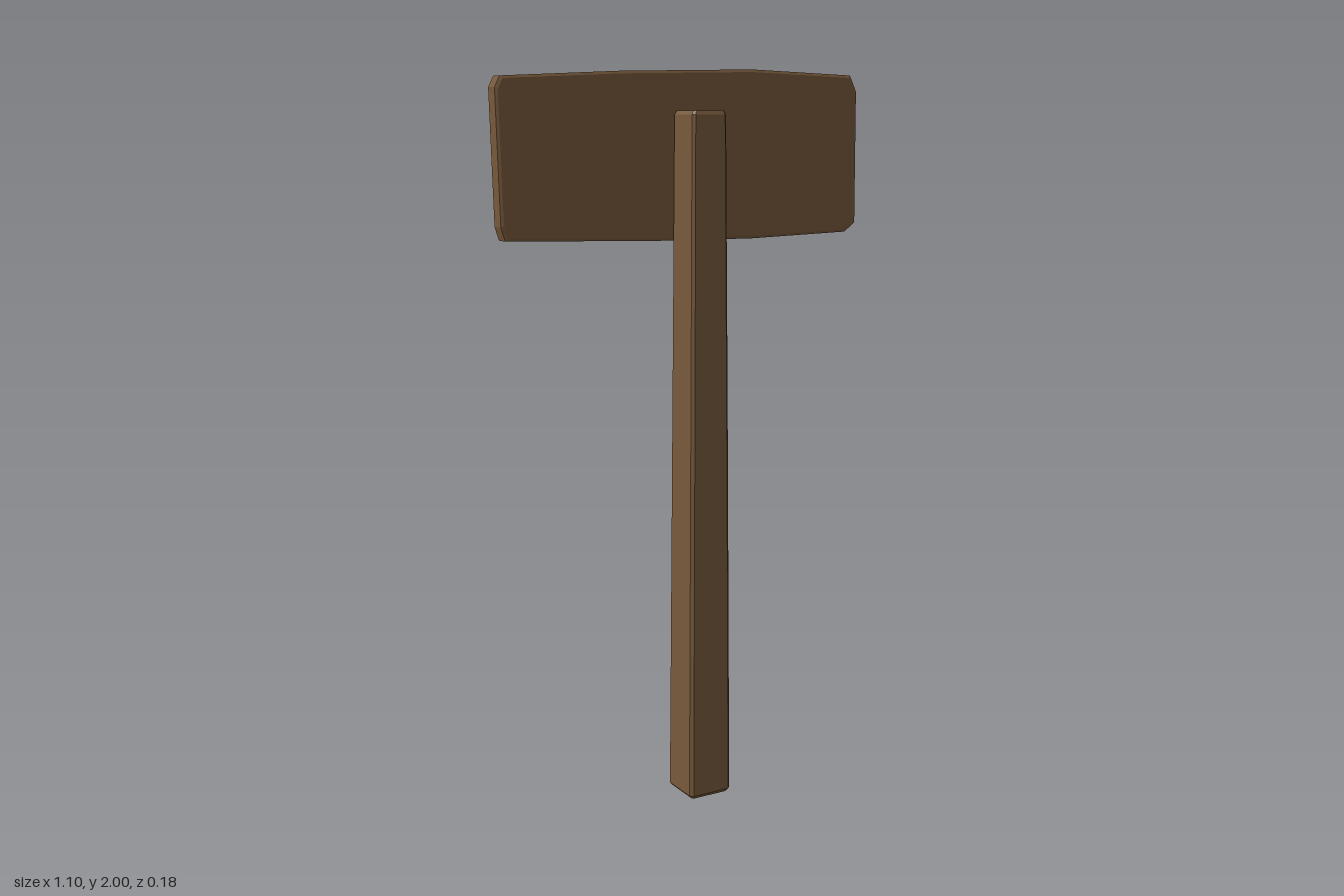
import * as THREE from 'three';

// Flat-faced solid through convex rings, each running counter-clockwise seen from the end.
// Group 0 holds the sides and end cap, group 1 the start cap.
function loft(rings) {
  const pos = [];
  const tri = (a, b, c) => pos.push(...a, ...b, ...c);
  const n = rings[0].length;
  const last = rings[rings.length - 1];
  for (let j = 0; j < rings.length - 1; j++) {
    for (let i = 0; i < n; i++) {
      const k = (i + 1) % n;
      const [a, b, c, d] = [rings[j][i], rings[j][k], rings[j + 1][k], rings[j + 1][i]];
      tri(a, b, c);
      tri(a, c, d);
    }
  }
  for (let i = 1; i < n - 1; i++) tri(last[0], last[i], last[i + 1]);
  const split = pos.length / 3;
  for (let i = 1; i < n - 1; i++) tri(rings[0][0], rings[0][i + 1], rings[0][i]);
  const geo = new THREE.BufferGeometry();
  geo.setAttribute('position', new THREE.Float32BufferAttribute(pos, 3));
  geo.addGroup(0, split, 0);
  geo.addGroup(split, pos.length / 3 - split, 1);
  geo.computeVertexNormals();
  return geo;
}

// Chamfered rectangular section of the post at height y
function postRing(y, x0, x1, z0, z1, c) {
  return [
    [x1 - c, z1], [x1, z1 - c], [x1, z0 + c], [x1 - c, z0],
    [x0 + c, z0], [x0, z0 + c], [x0, z1 - c], [x0 + c, z1],
  ].map(([x, z]) => [x, y, z]);
}

// Uneven outline of the sign board
const outline = [
  [-0.535, 1.565], [-0.1, 1.551], [0.2, 1.547], [0.515, 1.555], [0.55, 1.58],
  [0.547, 1.945], [0.525, 1.989], [0.2, 2.0], [-0.2, 1.99], [-0.54, 1.973],
  [-0.554, 1.945], [-0.546, 1.6],
];

// Board outline at depth z, drawn in by the given inset
function boardRing(z, inset) {
  const sx = 1 - inset / 0.55, sy = 1 - inset / 0.225;
  return outline.map(([x, y]) => [x * sx, 1.774 + (y - 1.774) * sy, z]);
}

export function createModel() {
  const model = new THREE.Group();
  model.name = 'signpost';

  const material = (name, color) => {
    const m = new THREE.MeshStandardMaterial({ color });
    m.name = name;
    m.flatShading = true;
    return m;
  };
  const wood = material('brown wood', 0x785a3c);
  const paleWood = material('pale wood', 0x957650);
  const iron = material('dark nail', 0x54402c);

  // Tapering post with softened ends
  const post = new THREE.Mesh(loft([
    postRing(0, -0.057, 0.057, -0.035, 0.079, 0.006),
    postRing(0.01, -0.066, 0.065, -0.042, 0.086, 0.009),
    postRing(1.0, -0.057, 0.06, -0.038, 0.078, 0.008),
    postRing(1.88, -0.049, 0.054, -0.034, 0.071, 0.007),
    postRing(1.89, -0.043, 0.05, -0.03, 0.066, 0.006),
  ]), [wood, wood]);
  post.name = 'post';
  model.add(post);

  // Board with bevelled rims and a pale sign face at the back
  const board = new THREE.Mesh(loft([
    boardRing(-0.084, 0.014),
    boardRing(-0.078, 0),
    boardRing(-0.039, 0),
    boardRing(-0.035, 0.007),
  ]), [wood, paleWood]);
  board.name = 'board';
  model.add(board);

  // Four nail heads at the corners of the sign face
  const nailGeo = new THREE.CylinderGeometry(0.01, 0.01, 0.008, 8).rotateX(Math.PI / 2);
  for (const x of [-0.488, 0.486]) {
    for (const y of [1.652, 1.887]) {
      const nail = new THREE.Mesh(nailGeo, iron);
      nail.name = 'nail';
      nail.position.set(x, y, -0.085);
      model.add(nail);
    }
  }

  return model;
}
